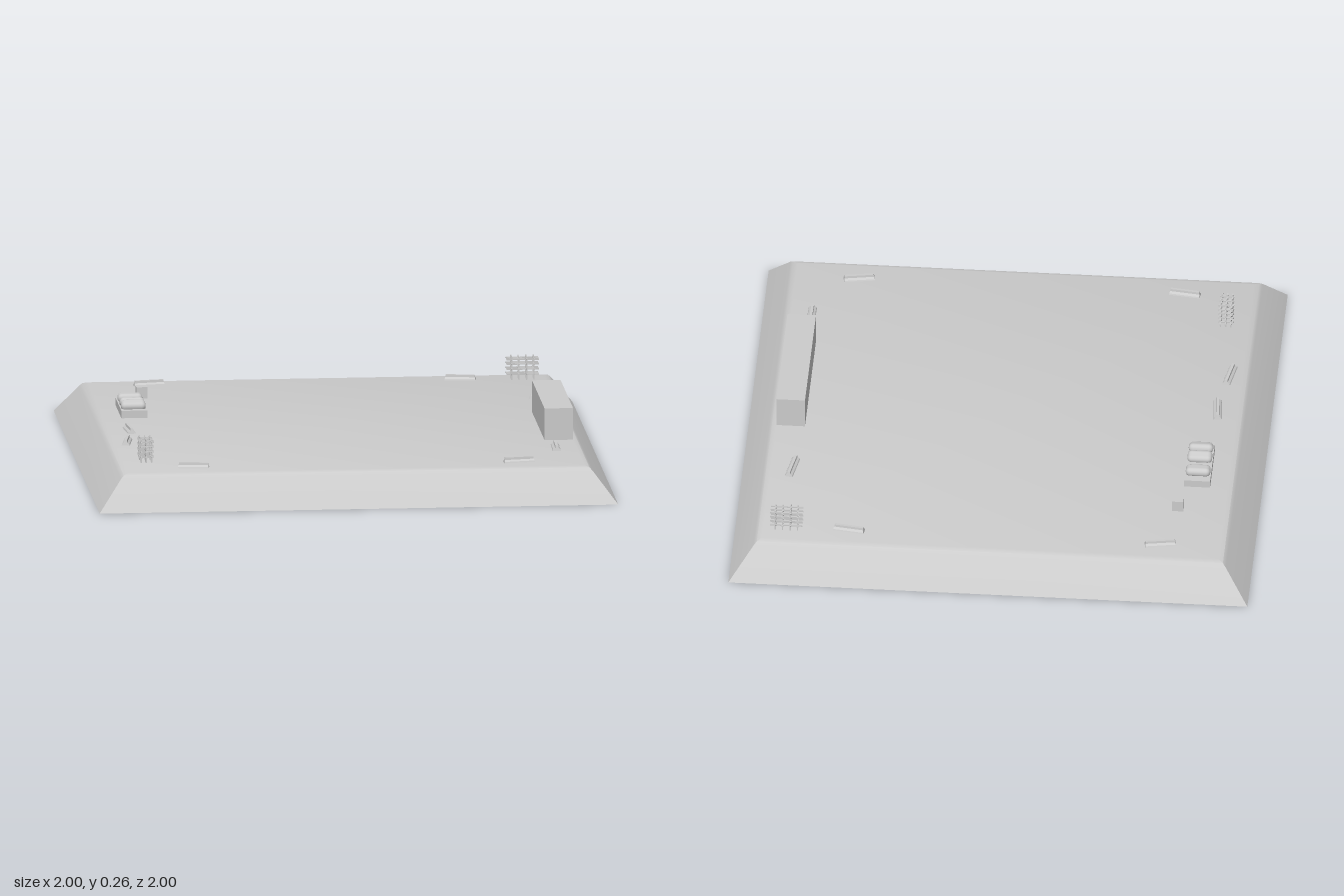
import * as THREE from 'three';
import { toCreasedNormals } from 'three/addons/utils/BufferGeometryUtils.js';
import { RoundedBoxGeometry } from 'three/addons/geometries/RoundedBoxGeometry.js';

const TOP = 0.133; // height of the ground slab
const grey = new THREE.MeshStandardMaterial({ color: 0xcccccc });

function add(parent, name, geometry, x = 0, y = 0, z = 0) {
  const mesh = new THREE.Mesh(geometry, grey);
  mesh.name = name;
  mesh.position.set(x, y, z);
  parent.add(mesh);
  return mesh;
}

const box = (parent, name, w, h, d, x, y, z) =>
  add(parent, name, new THREE.BoxGeometry(w, h, d), x, y, z);

// Square slab with sloping sides and a softened upper rim
function groundSlab() {
  const profile = [[0, 0], [1, 0], [0.91, 0.115], [0.898, 0.127], [0.88, TOP], [0, TOP]]
    .map(([r, y]) => new THREE.Vector2(r * Math.SQRT2, y));
  return toCreasedNormals(new THREE.LatheGeometry(profile, 4, Math.PI / 4), 0.5);
}

// Low road barrier: wide foot, narrow crest, ends sloping inwards
function barrierGeometry() {
  const shape = new THREE.Shape([
    [-0.016, 0], [0.016, 0], [0.014, 0.005], [0.006, 0.011], [0.005, 0.02],
    [-0.005, 0.02], [-0.006, 0.011], [-0.014, 0.005],
  ].map(([x, y]) => new THREE.Vector2(x, y)));
  const geo = new THREE.ExtrudeGeometry(shape, { depth: 0.12, bevelEnabled: false });
  geo.translate(0, 0, -0.06);
  const p = geo.attributes.position;
  for (let i = 0; i < p.count; i++) p.setZ(i, p.getZ(i) * (1 - 4 * p.getY(i)));
  geo.rotateY(Math.PI / 2);
  geo.computeVertexNormals();
  return geo;
}

// Scaffold cage of thin rods, running along x
function scaffold(name, x, z, turn) {
  const group = new THREE.Group();
  group.name = name;
  const t = 0.005;
  const columns = [-0.043, -0.015, 0.015, 0.043];
  const levels = [0.022, 0.042, 0.062, 0.08];
  for (const side of [-0.02, 0, 0.02]) {
    for (const c of columns) box(group, 'post', t, 0.09, t, c, 0.045, side);
    for (const y of levels) box(group, 'longRail', 0.125, t, t, 0, y, side);
  }
  for (const c of columns)
    for (const y of levels) box(group, 'crossRail', t, t, 0.058, c, y, 0);
  group.position.set(x, TOP, z);
  group.rotation.y = turn;
  return group;
}

export function createModel() {
  const model = new THREE.Group();
  model.name = 'yard';
  add(model, 'groundSlab', groundSlab());

  // Long container
  box(model, 'container', 0.11, 0.124, 0.547, 0.825, TOP + 0.062, 0.115);

  // Barriers around the edge: x, z, heading
  const barrier = barrierGeometry();
  [
    [-0.65, -0.805, 0.17], [0.55, -0.805, -0.14],
    [-0.62, 0.797, -0.13], [0.635, 0.797, 0.17],
    [0.798, -0.425, 1.4], [0.8, 0.54, 1.55],
    [-0.803, 0.067, 1.66], [-0.832, 0.29, 1.4],
  ].forEach(([x, z, turn]) => {
    add(model, 'barrier', barrier, x, TOP, z).rotation.y = turn;
  });

  // Small crate
  box(model, 'crate', 0.043, 0.045, 0.043, -0.7, TOP + 0.0225, -0.567);

  // Pallet with three sacks
  const load = new THREE.Group();
  load.name = 'palletOfSacks';
  load.position.set(-0.762, TOP, -0.302);
  box(load, 'pallet', 0.1, 0.029, 0.253, 0, 0.0145, 0);
  const sack = new RoundedBoxGeometry(0.095, 0.036, 0.05, 3, 0.017);
  [[-0.073, 0.04], [0.015, -0.3], [0.076, 0.3]].forEach(([z, roll]) => {
    add(load, 'sack', sack, 0, 0.04, z).rotation.x = roll;
  });
  model.add(load);

  // Scaffold cages
  model.add(scaffold('backScaffold', 0.79, -0.803, 0));
  model.add(scaffold('frontScaffold', -0.792, 0.645, Math.PI / 2));
  return model;
}
